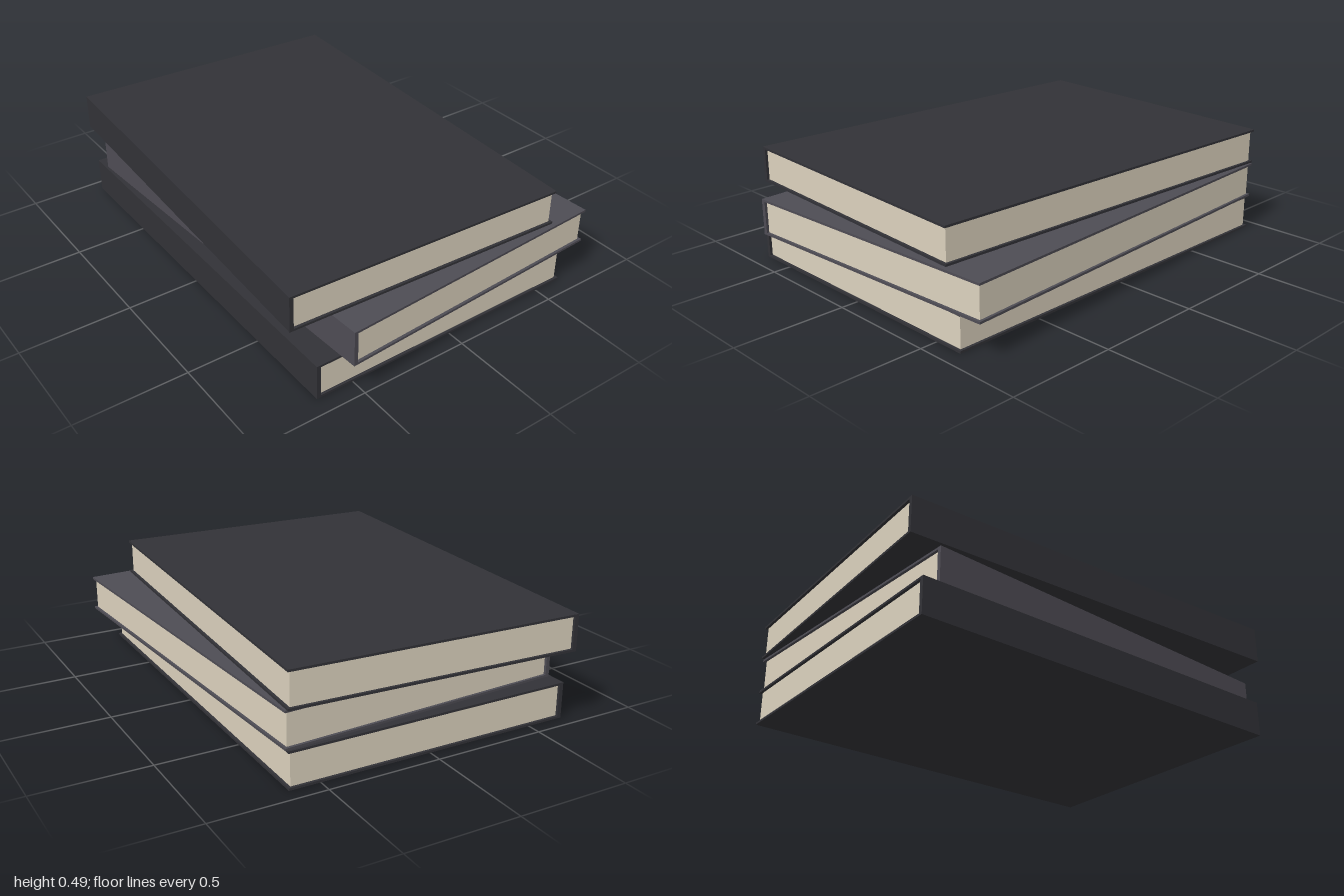
import * as THREE from 'three';

const material = (name, color) => {
  const m = new THREE.MeshStandardMaterial({ color });
  m.name = name;
  return m;
};

export function createModel() {
  const charcoal = material('charcoal cover', 0x323237);
  const grey = material('grey cover', 0x4e4c54);
  const paper = material('cream paper', 0xdcd2be);

  // Overall book size, board and spine thickness, and page inset
  const W = 1.308, H = 0.1633, L = 1.857;
  const board = 0.01, spine = 0.018, inset = 0.012;

  const box = (name, w, h, l, x, y, mat) => {
    const mesh = new THREE.Mesh(new THREE.BoxGeometry(w, h, l), mat);
    mesh.name = name;
    mesh.position.set(x, y, 0);
    return mesh;
  };

  // A closed hardback with its spine on -x
  const book = (name, cover) => {
    const g = new THREE.Group();
    g.name = name;
    const inner = H - 2 * board;
    const pageW = W - spine - inset;
    g.add(
      box('backCover', W, board, L, 0, board / 2, cover),
      box('frontCover', W, board, L, 0, H - board / 2, cover),
      box('spine', spine, inner, L, -W / 2 + spine / 2, H / 2, cover),
      box('pages', pageW, inner, L - 2 * inset, -W / 2 + spine + pageW / 2, H / 2, paper)
    );
    return g;
  };

  // Stack: name, cover, x, z, turn
  const model = new THREE.Group();
  model.name = 'bookStack';
  [
    ['bottomBook', charcoal, -0.018, -0.008, 0],
    ['middleBook', grey, 0.045, 0.035, 0.057],
    ['topBook', charcoal, -0.056, -0.041, -0.044],
  ].forEach(([name, cover, x, z, turn], i) => {
    const b = book(name, cover);
    b.position.set(x, i * H, z);
    b.rotation.y = turn;
    model.add(b);
  });
  return model;
}
